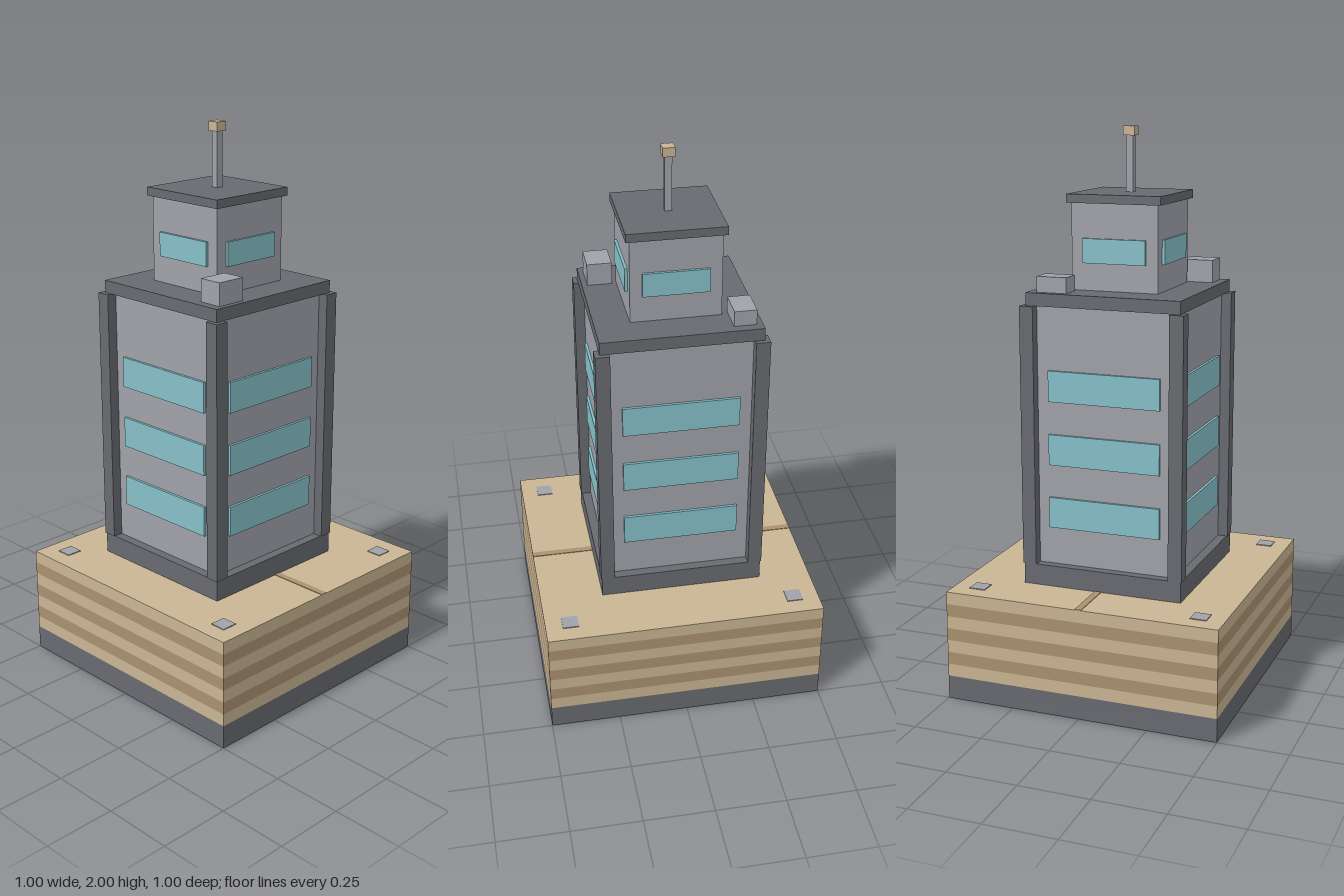
import * as THREE from 'three';

const material = (name, color) => {
  const m = new THREE.MeshStandardMaterial({ color });
  m.name = name;
  return m;
};

export function createModel() {
  const sand = material('sand', 0xc9b593);
  const brown = material('brown', 0xab916f);
  const dark = material('dark grey', 0x686a70);
  const grey = material('light grey', 0xa0a2aa);
  const glass = material('teal glass', 0x86c0c9);

  const model = new THREE.Group();
  model.name = 'towerBuilding';

  // Box from its centre x/z, bottom and top
  const box = (parent, name, mat, w, d, y0, y1, x = 0, z = 0) => {
    const mesh = new THREE.Mesh(new THREE.BoxGeometry(w, y1 - y0, d), mat);
    mesh.name = name;
    mesh.position.set(x, (y0 + y1) / 2, z);
    parent.add(mesh);
    return mesh;
  };

  // Ground block: dark foot and seven striped layers
  const ground = new THREE.Group();
  ground.name = 'groundBlock';
  model.add(ground);
  box(ground, 'foot', dark, 1, 1, 0, 0.085);
  const layer = 0.045;
  for (let i = 0; i < 7; i++) {
    box(ground, 'layer', i % 2 ? brown : sand, 1, 1, 0.085 + i * layer, 0.085 + (i + 1) * layer);
  }

  // Corner pads and the path line on the ground
  for (const x of [-0.41, 0.41]) {
    for (const z of [-0.41, 0.41]) box(ground, 'cornerPad', grey, 0.058, 0.058, 0.399, 0.403, x, z);
  }
  box(ground, 'pathLine', brown, 0.024, 1, 0.399, 0.402);

  // Tower, set slightly off centre
  const tower = new THREE.Group();
  tower.name = 'tower';
  tower.position.set(-0.0125, 0, -0.02);
  model.add(tower);
  box(tower, 'plinth', dark, 0.587, 0.587, 0.4, 0.475);
  box(tower, 'body', grey, 0.52, 0.52, 0.475, 1.4);
  box(tower, 'roofSlab', dark, 0.56, 0.56, 1.4, 1.445);
  for (const x of [-0.272, 0.272]) {
    for (const z of [-0.272, 0.272]) box(tower, 'cornerPillar', dark, 0.05, 0.05, 0.475, 1.4, x, z);
  }

  // Upper room and its roof
  box(tower, 'upperRoom', grey, 0.315, 0.315, 1.445, 1.745);
  box(tower, 'upperRoof', dark, 0.342, 0.342, 1.745, 1.775);

  // Windows repeated on the four sides
  for (let side = 0; side < 4; side++) {
    const face = new THREE.Group();
    face.name = 'windowSide';
    face.rotation.y = side * Math.PI / 2;
    tower.add(face);
    for (const y of [0.61, 0.838, 1.065]) {
      box(face, 'towerWindow', glass, 0.41, 0.0095, y, y + 0.11, 0, 0.2648);
    }
    box(face, 'roomWindow', glass, 0.23, 0.0095, 1.54, 1.625, 0, 0.1623);
  }

  // Mast with its beacon
  box(tower, 'mast', grey, 0.025, 0.025, 1.775, 1.97);
  box(tower, 'beacon', sand, 0.042, 0.042, 1.968, 2);

  // Rooftop units
  box(model, 'roofUnitFront', grey, 0.11, 0.088, 1.445, 1.525, -0.205, 0.197);
  box(model, 'roofUnitBack', grey, 0.11, 0.078, 1.445, 1.5, 0.18, -0.239);

  return model;
}
